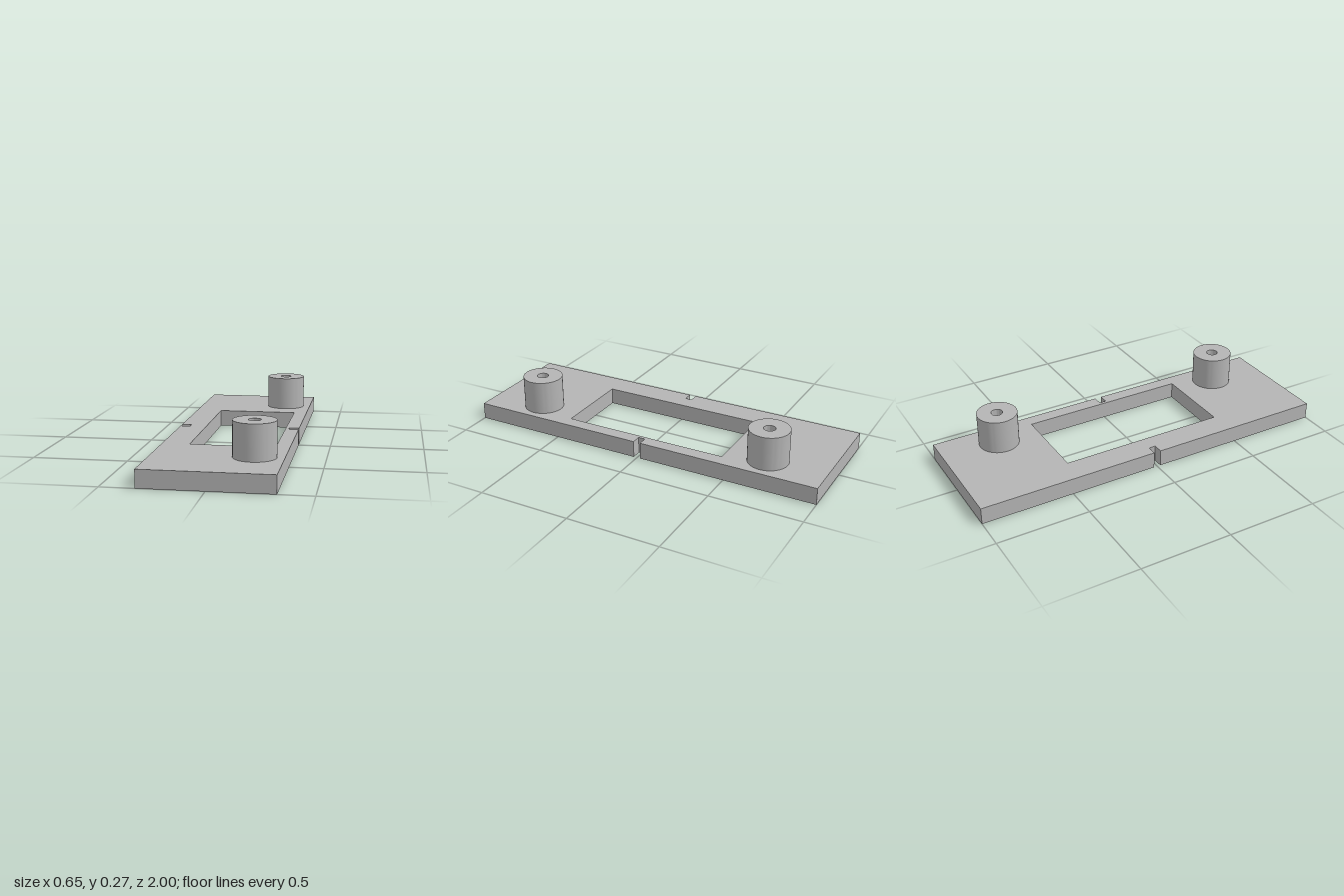
import * as THREE from 'three';
import { toCreasedNormals } from 'three/addons/utils/BufferGeometryUtils.js';

const PLATE_TOP = 0.091, BOSS_TOP = 0.274;
const BOSS_X = 0.181, BOSS_Z = 0.682, BOSS_R = 0.108, HOLE_R = 0.031;

function circle(Kind, x, y, r) {
  const c = new Kind();
  c.absarc(x, y, r, 0, Math.PI * 2, false);
  return c;
}

// Extrude a plan outline upwards, with smooth round walls and sharp edges
function extrudeUp(shape, height) {
  const geo = new THREE.ExtrudeGeometry(shape, { depth: height, bevelEnabled: false, curveSegments: 32 });
  geo.rotateX(-Math.PI / 2);
  return toCreasedNormals(geo, 0.6);
}

export function createModel() {
  const group = new THREE.Group();
  group.name = 'mountingPlate';
  const grey = new THREE.MeshStandardMaterial({ color: 0xb4b4b4 });
  grey.name = 'grey';

  // Plate outline with a small notch in the middle of each long side
  const w = 0.327, n = 0.019, d = 0.273;
  const outline = new THREE.Shape([
    [-w, -1], [w, -1], [w, -n], [d, -n], [d, n], [w, n],
    [w, 1], [-w, 1], [-w, n], [-d, n], [-d, -n], [-w, -n],
  ].map(([x, y]) => new THREE.Vector2(x, y)));

  // Offset rectangular window
  outline.holes.push(new THREE.Path([
    [-0.184, -0.457], [-0.184, 0.457], [0.255, 0.457], [0.255, -0.457],
  ].map(([x, y]) => new THREE.Vector2(x, y))));

  // Screw holes through the plate
  for (const s of [1, -1]) outline.holes.push(circle(THREE.Path, BOSS_X, s * BOSS_Z, HOLE_R));

  const plate = new THREE.Mesh(extrudeUp(outline, PLATE_TOP), grey);
  plate.name = 'basePlate';
  group.add(plate);

  // Hollow round standoffs above the screw holes
  const ring = circle(THREE.Shape, 0, 0, BOSS_R);
  ring.holes.push(circle(THREE.Path, 0, 0, HOLE_R));
  const bossGeo = extrudeUp(ring, BOSS_TOP - PLATE_TOP);
  for (const [name, s] of [['frontStandoff', 1], ['backStandoff', -1]]) {
    const boss = new THREE.Mesh(bossGeo, grey);
    boss.name = name;
    boss.position.set(BOSS_X, PLATE_TOP, s * BOSS_Z);
    group.add(boss);
  }

  return group;
}
